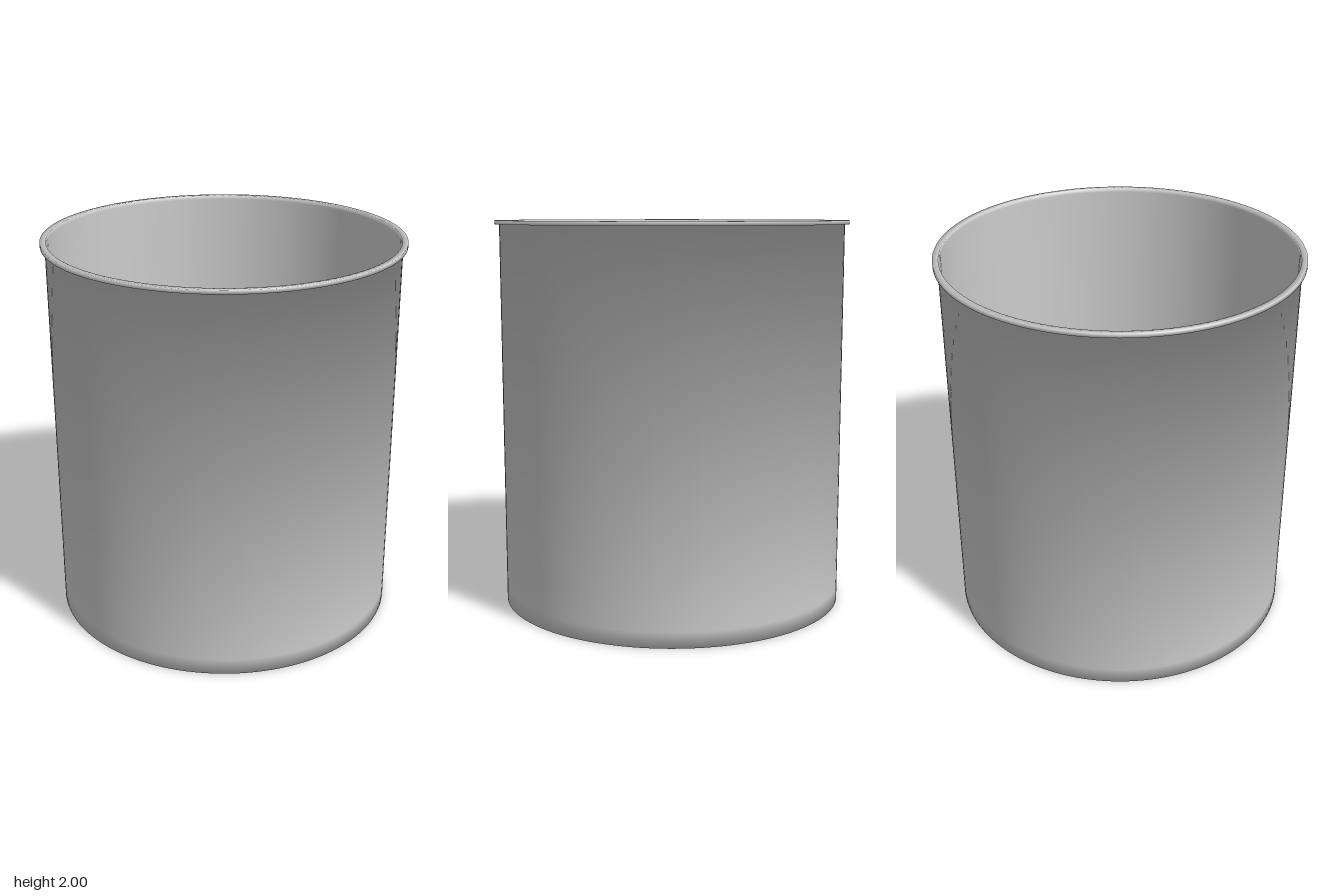
import * as THREE from 'three';

const SEGMENTS = 128;

// Revolves a profile and blends the normals evenly across every corner,
// so the whole surface is shaded as one soft, continuous skin.
function softLathe(profile) {
  const points = profile.map(([r, y]) => new THREE.Vector2(r, y));
  const geometry = new THREE.LatheGeometry(points, SEGMENTS);
  const edges = points.slice(1).map((p, i) => {
    const d = p.clone().sub(points[i]).normalize();
    return new THREE.Vector2(d.y, -d.x);
  });
  const normals = points.map((p, i) => {
    const a = edges[Math.max(i - 1, 0)];
    const b = edges[Math.min(i, edges.length - 1)];
    const n = a.clone().add(b).normalize();
    // On the axis the blend runs linearly from rim to rim
    return p.x === 0 ? n.multiplyScalar(Math.SQRT1_2) : n;
  });
  const attribute = geometry.attributes.normal;
  for (let s = 0; s <= SEGMENTS; s++) {
    const angle = (s / SEGMENTS) * Math.PI * 2;
    normals.forEach((n, j) => {
      attribute.setXYZ(s * points.length + j, n.x * Math.sin(angle), n.y, n.x * Math.cos(angle));
    });
  }
  return geometry;
}

export function createModel() {
  const group = new THREE.Group();
  group.name = 'openContainer';
  const material = new THREE.MeshStandardMaterial({ color: 0xcccccc });

  const outer = 0.892;
  const inner = 0.885;
  const lip = 0.915;
  const lipBase = 1.98;
  const floor = 0.006;

  // Closed bottom, straight outer wall, overhanging lip, inner wall and floor
  const body = new THREE.Mesh(softLathe([
    [0, 0],
    [outer, 0],
    [outer, 0.08],
    [outer, lipBase],
    [lip, lipBase],
    [lip, 2],
    [inner, 2],
    [inner, lipBase],
    [inner, 0.08],
    [inner, floor],
    [0, floor],
  ]), material);
  body.name = 'containerBody';
  group.add(body);

  return group;
}
